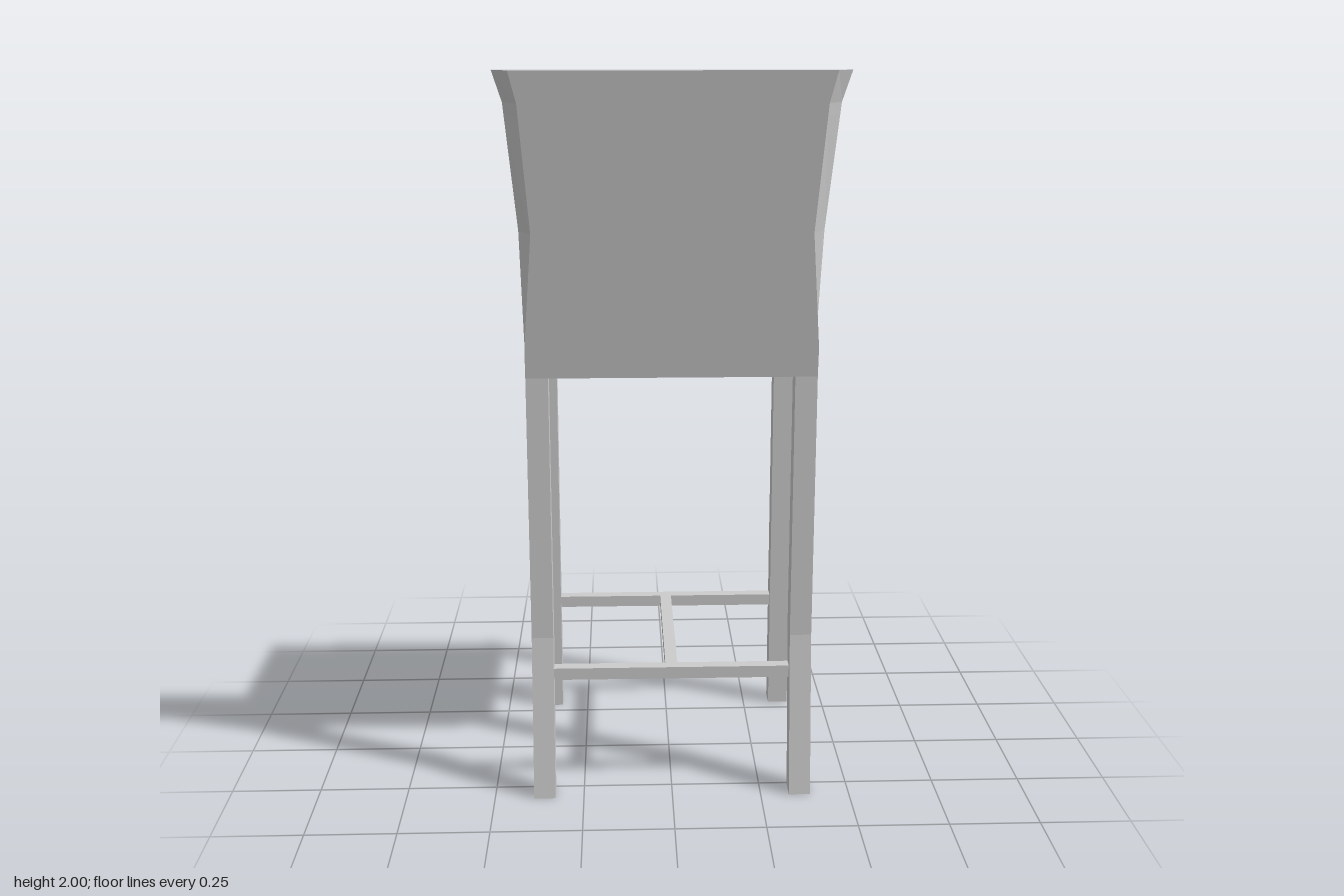
import * as THREE from 'three';

const material = new THREE.MeshStandardMaterial({ color: 0xcccccc, flatShading: true });

// Joins closed loops of points, stacked from bottom to top, and caps both ends.
function loft(loops) {
  const pos = [];
  const tri = (...pts) => pts.forEach((p) => pos.push(...p));
  const n = loops[0].length;
  for (let r = 0; r < loops.length - 1; r++) {
    const lo = loops[r], up = loops[r + 1];
    for (let i = 0; i < n; i++) {
      const j = (i + 1) % n;
      tri(lo[i], up[i], up[j]);
      tri(lo[i], up[j], lo[j]);
    }
  }
  const bottom = loops[0], top = loops[loops.length - 1];
  for (let i = 1; i < n - 1; i++) {
    tri(bottom[0], bottom[i], bottom[i + 1]);
    tri(top[0], top[i + 1], top[i]);
  }
  const g = new THREE.BufferGeometry();
  g.setAttribute('position', new THREE.Float32BufferAttribute(pos, 3));
  g.computeVertexNormals();
  return g;
}

// Horizontal rectangle at height y.
const rect = (y, x0, x1, z0, z1) => [[x1, y, z0], [x1, y, z1], [x0, y, z1], [x0, y, z0]];

// Linear interpolation through [y, value] pairs.
function along(pairs, y) {
  let i = 0;
  while (i < pairs.length - 2 && y > pairs[i + 1][0]) i++;
  const [[y0, v0], [y1, v1]] = [pairs[i], pairs[i + 1]];
  return THREE.MathUtils.lerp(v0, v1, THREE.MathUtils.clamp((y - y0) / (y1 - y0), 0, 1));
}

// Backrest outline: half widths and depths of its seat-side and rear faces.
const frontHalf = (y) => along([[1.28, 0.39], [1.59, 0.4], [1.92, 0.43], [2, 0.455]], y);
const rearHalf = (y) => along([[1.28, 0.39], [1.59, 0.365], [1.92, 0.39], [2, 0.41]], y);
const frontZ = (y) => along([[1.28, 0.2], [2, 0.297]], y);
const rearZ = (y) => along([[1.2, 0.26], [2, 0.363]], y);
const openingHalf = (y) => frontHalf(y) - 0.057;
const OPEN_LOW = 1.29, OPEN_HIGH = 1.89;

// Cross-section of the backrest frame, with a recess for the pad.
function frameLoop(y, depth) {
  const f = frontHalf(y), r = rearHalf(y), o = openingHalf(y), z = frontZ(y);
  return [
    [f, y, z], [r, y, rearZ(y)], [-r, y, rearZ(y)], [-f, y, z],
    [-o, y, z], [-o, y, z + depth], [o, y, z + depth], [o, y, z],
  ];
}

// Cross-section of the pad; "bulge" is how far it rises from the recess.
function padLoop(y, inset, bulge) {
  const o = openingHalf(y), back = frontZ(y) + 0.035, base = frontZ(y) + 0.024;
  const w = o - inset;
  return [
    [w, y, base - bulge], [o, y, base], [o, y, back],
    [-o, y, back], [-o, y, base], [-w, y, base - bulge],
  ];
}

export function createModel() {
  const model = new THREE.Group();
  const add = (name, geometry, x = 0, y = 0, z = 0) => {
    const mesh = new THREE.Mesh(geometry, material);
    mesh.name = name;
    mesh.position.set(x, y, z);
    model.add(mesh);
  };

  // Legs: straight at the front, kicked backwards at the rear
  for (const [side, s] of [['left', 1], ['right', -1]]) {
    const x = 0.36 * s;
    add(`${side}FrontLeg`, new THREE.BoxGeometry(0.06, 1.23, 0.06), x, 0.615, -0.32);
    add(`${side}BackLeg`, loft([
      rect(0, -0.03, 0.03, 0.26, 0.32),
      rect(0.46, -0.03, 0.03, 0.2, 0.26),
      rect(1.2, -0.03, 0.03, 0.2, 0.26),
    ]), x);
  }

  // H-shaped stretchers
  const bar = 0.034;
  add('frontStretcher', new THREE.BoxGeometry(0.66, bar, bar), 0, 0.347, -0.32);
  add('backStretcher', new THREE.BoxGeometry(0.66, bar, bar), 0, 0.347, 0.235);
  add('middleStretcher', new THREE.BoxGeometry(bar, bar, 0.53), 0, 0.347, -0.043);

  // Seat board and bevelled cushion
  add('seatFrame', new THREE.BoxGeometry(0.78, 0.045, 0.562), 0, 1.2525, -0.083);
  add('seatCushion', loft([
    rect(1.27, -0.37, 0.37, -0.352, 0.187),
    rect(1.3, -0.346, 0.346, -0.333, 0.168),
    rect(1.31, -0.18, 0.18, -0.21, 0.05),
  ]));

  // Flared backrest with a recessed opening
  add('backrestFrame', loft([
    frameLoop(1.2, 0), frameLoop(1.28, 0),
    frameLoop(OPEN_LOW, 0), frameLoop(OPEN_LOW, 0.03),
    frameLoop(1.59, 0.03),
    frameLoop(OPEN_HIGH, 0.03), frameLoop(OPEN_HIGH, 0),
    frameLoop(1.92, 0), frameLoop(2, 0),
  ]));

  // Bevelled pad set into the backrest
  add('backrestPad', loft([
    padLoop(OPEN_LOW, 0, 0),
    padLoop(1.35, 0.045, 0.022),
    padLoop(1.59, 0.045, 0.022),
    padLoop(1.83, 0.045, 0.022),
    padLoop(OPEN_HIGH, 0, 0),
  ]));

  return model;
}
